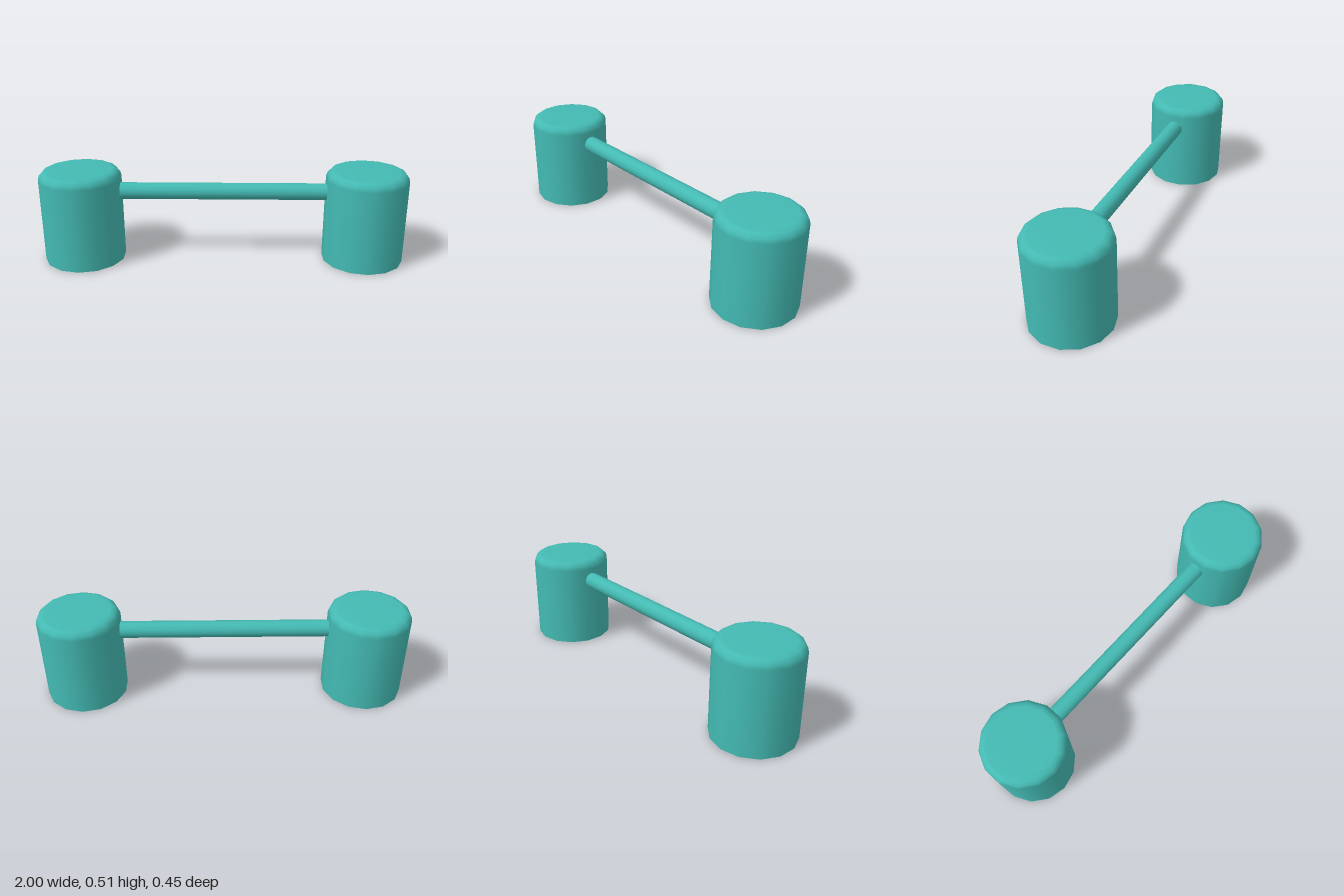
import * as THREE from 'three';

const SIDES = 14;
const POST_RADIUS = 0.224;
const POST_HEIGHT = 0.515;
const BEVEL = 0.047;
const POST_X = 0.7815;

export function createModel() {
  const model = new THREE.Group();
  model.name = 'barrier';

  const teal = new THREE.MeshStandardMaterial({ color: 0x44bab3, side: THREE.DoubleSide });
  teal.name = 'teal';

  // Post profile: straight wall, rounded rim, flat top, open underside
  const profile = [new THREE.Vector2(POST_RADIUS, 0)];
  for (let i = 0; i <= 3; i++) {
    const a = (i / 3) * Math.PI / 2;
    profile.push(new THREE.Vector2(
      POST_RADIUS - BEVEL + BEVEL * Math.cos(a),
      POST_HEIGHT - BEVEL + BEVEL * Math.sin(a)
    ));
  }
  profile.push(new THREE.Vector2(0, POST_HEIGHT));
  const postGeometry = new THREE.LatheGeometry(profile, SIDES);

  // Mirrored pair of posts
  for (const [side, name] of [[1, 'leftPost'], [-1, 'rightPost']]) {
    const post = new THREE.Mesh(postGeometry, teal);
    post.name = name;
    post.position.x = side * POST_X;
    model.add(post);
  }

  // Round bar joining the inner faces of the posts
  const bar = new THREE.Mesh(new THREE.CylinderGeometry(0.046, 0.046, 1.135, SIDES, 1, true), teal);
  bar.name = 'crossbar';
  bar.rotation.z = Math.PI / 2;
  bar.position.y = 0.393;
  model.add(bar);

  return model;
}
